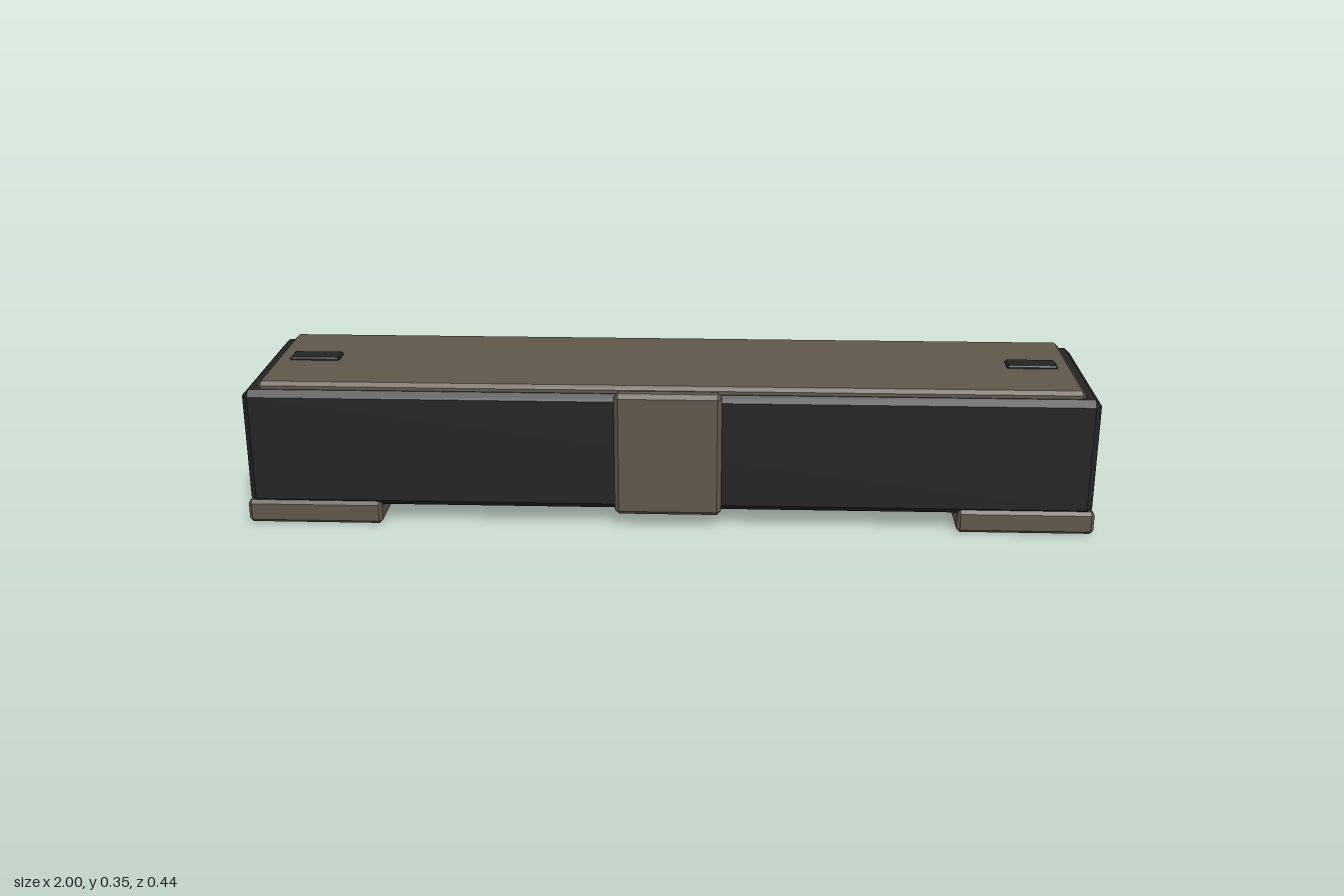
import * as THREE from 'three';
import { ConvexGeometry } from 'three/addons/geometries/ConvexGeometry.js';

const dark = new THREE.MeshStandardMaterial({ name: 'charcoal', color: 0x242424 });
const brown = new THREE.MeshStandardMaterial({ name: 'taupe', color: 0x60574c });

// Box between two corners with every edge chamfered by c
function chamferBox(name, material, [x0, x1], [y0, y1], [z0, z1], c) {
  const hx = (x1 - x0) / 2, hy = (y1 - y0) / 2, hz = (z1 - z0) / 2;
  const points = [];
  for (const sx of [-1, 1]) for (const sy of [-1, 1]) for (const sz of [-1, 1]) {
    points.push(
      new THREE.Vector3(sx * hx, sy * (hy - c), sz * (hz - c)),
      new THREE.Vector3(sx * (hx - c), sy * hy, sz * (hz - c)),
      new THREE.Vector3(sx * (hx - c), sy * (hy - c), sz * hz),
    );
  }
  const mesh = new THREE.Mesh(new ConvexGeometry(points), material);
  mesh.name = name;
  mesh.position.set((x0 + x1) / 2, (y0 + y1) / 2, (z0 + z1) / 2);
  return mesh;
}

export function createModel() {
  const model = new THREE.Group();
  model.name = 'longCase';

  // Main body, lid plate and the strap wrapped round the middle
  model.add(chamferBox('body', dark, [-0.995, 0.995], [0.045, 0.33], [-0.21, 0.21], 0.015));
  model.add(chamferBox('topPlate', brown, [-0.96, 0.96], [0.315, 0.347], [-0.192, 0.192], 0.009));
  model.add(chamferBox('middleBand', brown, [-0.125, 0.125], [0.036, 0.336], [-0.221, 0.221], 0.01));

  // Feet and lid tabs at both ends
  for (const s of [-1, 1]) {
    const side = s > 0 ? 'left' : 'right';
    const span = (a, b) => (s > 0 ? [a, b] : [-b, -a]);
    model.add(chamferBox(side + 'Foot', brown, span(0.68, 1), [0, 0.056], [-0.214, 0.214], 0.008));
    model.add(chamferBox(side + 'Tab', dark, span(0.803, 0.923), [0.335, 0.354], [-0.026, 0.026], 0.004));
  }
  return model;
}
